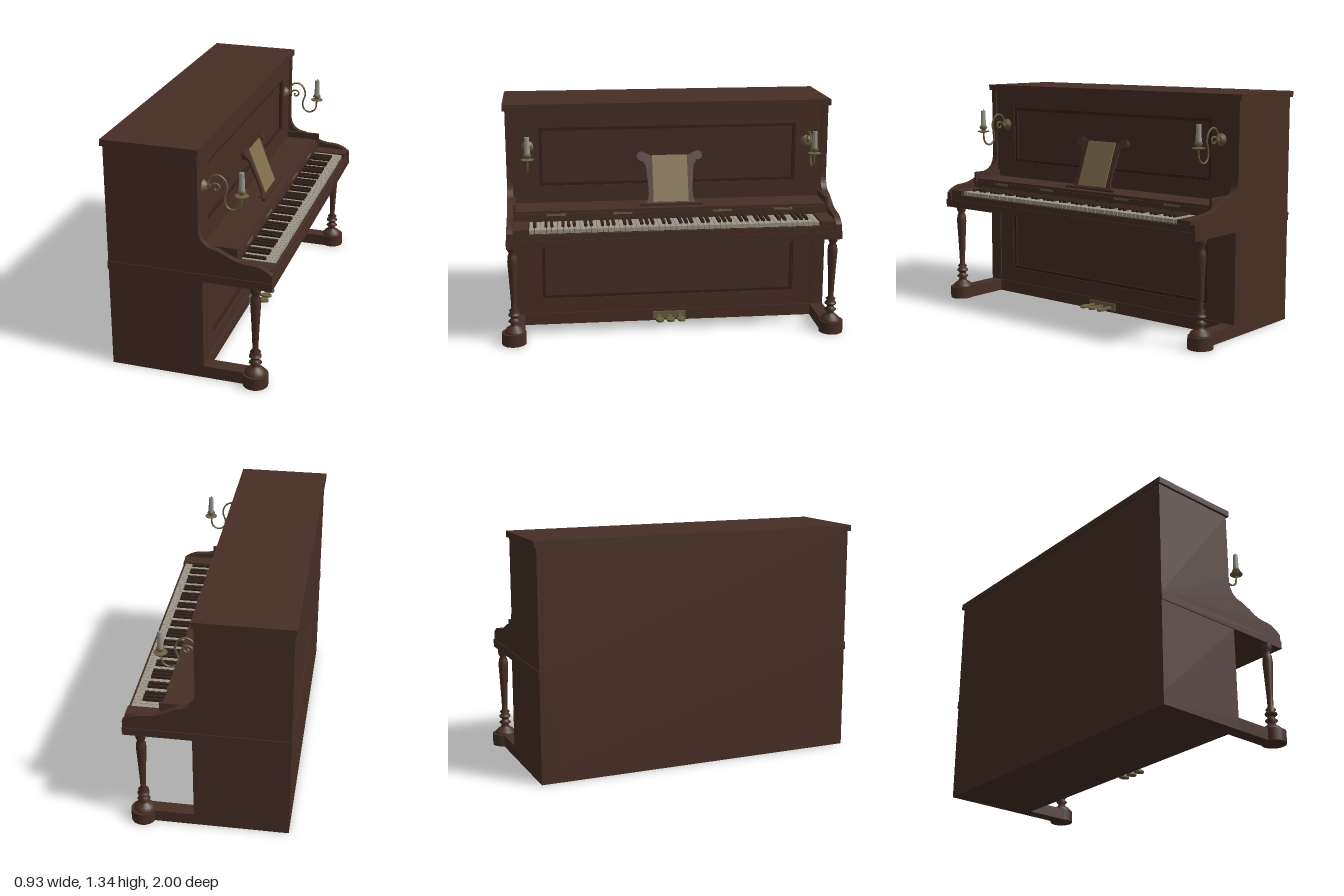
import * as THREE from 'three';

const mat = (name, color, side = THREE.FrontSide) => {
  const m = new THREE.MeshStandardMaterial({ color, side });
  m.name = name;
  return m;
};

export function createModel() {
  const wood = mat('walnut', 0x472e25);
  const dark = mat('darkWalnut', 0x33221b);
  const ivory = mat('ivory', 0x9c9789);
  const brass = mat('brass', 0x6b5f40);
  const paper = mat('paper', 0x7f6e4b);
  const wax = mat('wax', 0x98958e);

  const piano = new THREE.Group();
  piano.name = 'uprightPiano';
  const add = (name, geo, m, parent = piano) => {
    const mesh = new THREE.Mesh(geo, m);
    mesh.name = name;
    parent.add(mesh);
    return mesh;
  };
  // Box given by its limits on each axis
  const box = (name, x0, x1, y0, y1, z0, z1, m = wood, parent = piano) => {
    const mesh = add(name, new THREE.BoxGeometry(x1 - x0, y1 - y0, z1 - z0), m, parent);
    mesh.position.set((x0 + x1) / 2, (y0 + y1) / 2, (z0 + z1) / 2);
    return mesh;
  };
  // Rectangular frame facing +x, with a rectangular opening
  const rect = (S, w, y0, y1) => new S().moveTo(-w, y0).lineTo(w, y0).lineTo(w, y1).lineTo(-w, y1).closePath();
  const frame = (name, x0, x1, outer, inner, m) => {
    const shape = rect(THREE.Shape, ...outer);
    shape.holes.push(rect(THREE.Path, ...inner));
    const geo = new THREE.ExtrudeGeometry(shape, { depth: x1 - x0, bevelEnabled: false });
    const mesh = add(name, geo, m);
    mesh.rotation.y = Math.PI / 2;
    mesh.position.x = x0;
  };
  const lathe = (pts, n = 16) => new THREE.LatheGeometry(pts.map(p => new THREE.Vector2(...p)), n);

  // Cabinet
  box('lid', -0.465, 0.07, 1.3, 1.335, -0.965, 0.965);
  box('upperCabinet', -0.455, 0.03, 0.635, 1.3, -0.915, 0.915);
  box('lowerCabinet', -0.455, 0.05, 0.07, 0.59, -0.87, 0.87);
  box('keyBed', -0.458, 0.462, 0.59, 0.635, -0.955, 0.955);
  box('base', -0.455, 0.08, 0, 0.07, -0.95, 0.95);
  frame('upperPanelFrame', 0.03, 0.05, [0.915, 0.75, 1.3], [0.76, 0.85, 1.195], wood);
  frame('upperPanelMoulding', 0.03, 0.044, [0.76, 0.85, 1.195], [0.742, 0.868, 1.177], dark);
  frame('lowerPanelFrame', 0.05, 0.072, [0.87, 0.07, 0.59], [0.76, 0.16, 0.52], wood);
  frame('lowerPanelMoulding', 0.05, 0.065, [0.76, 0.16, 0.52], [0.742, 0.178, 0.502], dark);

  // Scrolled side cheek, drawn in side profile
  const cheek = new THREE.Shape();
  cheek.moveTo(-0.455, 0.635).lineTo(0.46, 0.635).lineTo(0.46, 0.677);
  cheek.quadraticCurveTo(0.41, 0.72, 0.35, 0.722);
  cheek.quadraticCurveTo(0.29, 0.722, 0.24, 0.745);
  cheek.lineTo(0.16, 0.783);
  cheek.bezierCurveTo(0.09, 0.79, 0.06, 0.83, 0.06, 0.9);
  cheek.lineTo(0.06, 1.3).lineTo(-0.455, 1.3).closePath();
  const cheekGeo = new THREE.ExtrudeGeometry(cheek, { depth: 0.035, bevelEnabled: false, curveSegments: 10 });

  const legGeo = lathe([[0.058, 0.07], [0.058, 0.08], [0.045, 0.095], [0.028, 0.105], [0.02, 0.12], [0.036, 0.135],
    [0.02, 0.15], [0.02, 0.158], [0.034, 0.17], [0.034, 0.178], [0.02, 0.19], [0.03, 0.2], [0.016, 0.215],
    [0.018, 0.28], [0.025, 0.42], [0.029, 0.49], [0.026, 0.525], [0.018, 0.54], [0.026, 0.555], [0.03, 0.575], [0.03, 0.59]]);

  // Candle arm curve in the x-y plane
  const arm = new THREE.CatmullRomCurve3([[0.118, 1.085], [0.108, 1.077], [0.122, 1.067], [0.138, 1.08], [0.133, 1.1],
    [0.108, 1.104], [0.085, 1.09], [0.08, 1.115], [0.1, 1.145], [0.135, 1.153], [0.168, 1.13], [0.182, 1.085],
    [0.166, 1.02], [0.18, 0.98], [0.215, 0.967], [0.25, 0.99], [0.26, 1.05]].map(p => new THREE.Vector3(...p, 0)));
  const armGeo = new THREE.TubeGeometry(arm, 72, 0.0055, 6);
  const dishGeo = lathe([[0, 1.04], [0.012, 1.045], [0.037, 1.052], [0.037, 1.056], [0.012, 1.058],
    [0.012, 1.064], [0.025, 1.075], [0.018, 1.09], [0, 1.092]]);

  for (const s of [-1, 1]) {
    const side = new THREE.Group();
    side.name = s > 0 ? 'leftSide' : 'rightSide';
    piano.add(side);
    const span = (name, x0, x1, y0, y1, a, b, m) =>
      box(name, x0, x1, y0, y1, Math.min(s * a, s * b), Math.max(s * a, s * b), m, side);

    add('cheek', cheekGeo, wood, side).position.z = s > 0 ? 0.915 : -0.95;
    span('lowerSidePanel', -0.455, 0.08, 0.07, 0.59, 0.87, 0.95);
    span('innerCheek', 0.05, 0.26, 0.635, 0.79, 0.9, 0.915);
    span('keyBlock', 0.25, 0.452, 0.635, 0.695, 0.83, 0.915);
    span('footArm', 0.08, 0.37, 0, 0.07, 0.87, 0.95);

    // Turned leg on a round foot
    const foot = add('foot', new THREE.CylinderGeometry(0.07, 0.07, 0.07, 20), wood, side);
    foot.position.set(0.37, 0.035, s * 0.93);
    add('leg', legGeo, wood, side).position.set(0.367, 0, s * 0.925);

    // Candle holder
    const sconce = new THREE.Group();
    sconce.name = 'candleHolder';
    sconce.position.z = s * 0.825;
    side.add(sconce);
    const rose = add('wallPlate', new THREE.CylinderGeometry(0.018, 0.036, 0.02, 16), brass, sconce);
    rose.rotation.z = -Math.PI / 2;
    rose.position.set(0.06, 1.085, 0);
    box('armMount', 0.06, 0.09, 1.08, 1.095, -0.006, 0.006, brass, sconce);
    add('arm', armGeo, brass, sconce);
    add('dish', dishGeo, brass, sconce).position.x = 0.26;
    const candle = add('candle', new THREE.CylinderGeometry(0.014, 0.017, 0.095, 12), wax, sconce);
    candle.position.set(0.26, 1.135, 0);
    const wick = add('wick', new THREE.CylinderGeometry(0.002, 0.002, 0.012, 5), dark, sconce);
    wick.position.set(0.26, 1.187, 0);
  }

  // Shelf, fallboard and key slip
  box('shelf', 0.03, 0.25, 0.725, 0.75, -0.9, 0.9);
  box('fallboard', 0.22, 0.258, 0.635, 0.735, -0.9, 0.9);
  box('keySlip', 0.437, 0.455, 0.635, 0.667, -0.9, 0.9);
  for (const z of [-0.65, -0.29, 0.29, 0.67])
    box('hinge', 0.25, 0.26, 0.722, 0.734, z - 0.055, z + 0.055, brass);

  // Keyboard: 52 naturals from bass (+z) to treble (-z); sharps follow A B C D E F G
  const pitch = 1.65 / 52;
  box('keyFrame', 0.25, 0.43, 0.635, 0.67, -0.83, 0.83, dark);
  for (let i = 0; i < 52; i++) {
    const z = 0.825 - (i + 0.5) * pitch;
    box('whiteKey', 0.255, 0.436, 0.668, 0.69, z - pitch * 0.46, z + pitch * 0.46, ivory);
    if (i < 51 && ![1, 4].includes(i % 7)) {
      const b = z - pitch / 2;
      box('blackKey', 0.255, 0.385, 0.68, 0.704, b - 0.0085, b + 0.0085, dark);
    }
  }

  // Music desk leaning on the upper panel
  const desk = new THREE.Group();
  desk.name = 'musicDesk';
  desk.position.set(0.17, 0.752, 0);
  desk.rotation.z = 0.37;
  piano.add(desk);
  const board = new THREE.Shape();
  board.moveTo(-0.15, 0).lineTo(0.15, 0).quadraticCurveTo(0.125, 0.03, 0.13, 0.1);
  board.lineTo(0.14, 0.22).quadraticCurveTo(0.15, 0.255, 0.18, 0.26).lineTo(0.18, 0.305);
  board.quadraticCurveTo(0.14, 0.31, 0.11, 0.285).lineTo(-0.11, 0.285);
  board.quadraticCurveTo(-0.14, 0.31, -0.18, 0.305).lineTo(-0.18, 0.26);
  board.quadraticCurveTo(-0.15, 0.255, -0.14, 0.22).lineTo(-0.13, 0.1).quadraticCurveTo(-0.125, 0.03, -0.15, 0);
  const boardMesh = add('deskBoard', new THREE.ExtrudeGeometry(board, { depth: 0.012, bevelEnabled: false }), wood, desk);
  boardMesh.rotation.y = Math.PI / 2;
  for (const s of [-1, 1]) {
    const scroll = add('deskScroll', new THREE.CylinderGeometry(0.028, 0.028, 0.026, 14), wood, desk);
    scroll.rotation.z = Math.PI / 2;
    scroll.position.set(0.006, 0.282, s * 0.165);
  }
  box('sheetMusic', 0.012, 0.019, 0.012, 0.288, -0.103, 0.103, paper, desk);
  box('deskLedge', 0.185, 0.205, 0.75, 0.764, -0.185, 0.185);
  box('deskFoot', 0.15, 0.19, 0.75, 0.758, -0.15, 0.15);

  // Pedals
  box('pedalPlate', 0.08, 0.086, 0.012, 0.058, -0.1, 0.1, brass);
  for (const z of [-0.065, 0, 0.065]) {
    box('pedalStem', 0.08, 0.15, 0.027, 0.038, z - 0.009, z + 0.009, brass);
    const pad = add('pedalPad', new THREE.CylinderGeometry(0.024, 0.024, 0.012, 14), brass);
    pad.scale.set(1.4, 1, 1);
    pad.position.set(0.165, 0.033, z);
  }
  return piano;
}
